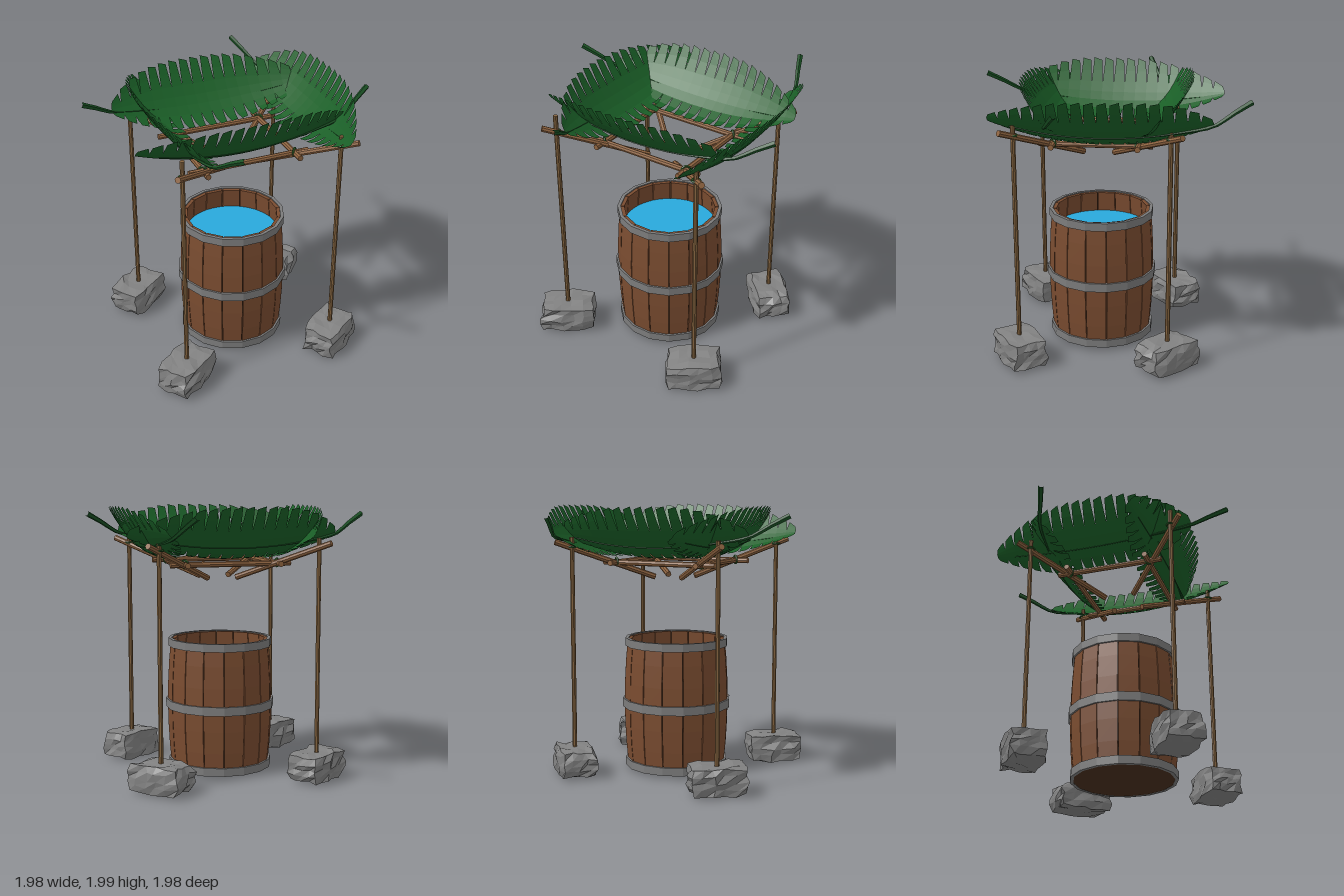
import * as THREE from 'three';

const mat = (color, extra = {}) => new THREE.MeshStandardMaterial({ color, flatShading: true, ...extra });
const both = { side: THREE.DoubleSide };
const M = {
  stave: mat(0x7a4c30), dark: mat(0x4a301e, both), band: mat(0x7c7c7c, both), water: mat(0x29a9dc),
  pole: mat(0x866540), beam: mat(0x8f6440), rock: mat(0x828282), leaf: mat(0x1a5f27, both),
  stem: mat(0x184f22), tie: mat(0x2c5a26),
};
const V = (x, y, z) => new THREE.Vector3(x, y, z);

function add(parent, name, geo, material, x = 0, y = 0, z = 0) {
  const mesh = new THREE.Mesh(geo, material);
  mesh.name = name;
  mesh.position.set(x, y, z);
  parent.add(mesh);
  return mesh;
}

// Round pole between two points
function pole(parent, name, a, b, r, material) {
  const d = b.clone().sub(a);
  const m = add(parent, name, new THREE.CylinderGeometry(r, r, d.length(), 8), material);
  m.position.copy(a).add(b).multiplyScalar(0.5);
  m.quaternion.setFromUnitVectors(V(0, 1, 0), d.normalize());
}

// Barrel of bulging staves with three hoops
const SIDES = 16;
const bulge = y => 0.368 + 0.027 * (1 - ((y - 0.52) / 0.49) ** 2);

function lathe(points) {
  return new THREE.LatheGeometry(points.map(p => new THREE.Vector2(...p)), SIDES, Math.PI / SIDES);
}

function barrel() {
  const g = new THREE.Group();
  g.name = 'barrel';
  const geo = new THREE.BoxGeometry(1, 0.965, 1, 1, 6, 1);
  const p = geo.attributes.position;
  for (let i = 0; i < p.count; i++) {
    const y = p.getY(i) + 0.52;
    const r = (bulge(y) - (p.getZ(i) < 0 ? 0.032 : 0)) * Math.cos(Math.PI / SIDES);
    const half = r * Math.tan(Math.PI / SIDES) - 0.003;
    p.setXYZ(i, Math.sign(p.getX(i)) * half, y, r);
  }
  for (let i = 0; i < SIDES; i++) add(g, 'stave', geo, M.stave).rotation.y = i * 2 * Math.PI / SIDES;

  const ys = [0.04, 0.2, 0.36, 0.52, 0.68, 0.84, 0.995];
  add(g, 'staveGaps', lathe(ys.map(y => [bulge(y) - 0.012, y])), M.dark);
  for (const [y0, y1, r] of [[0.03, 0.09, 0.388], [0.485, 0.55, 0.408], [0.95, 1.01, 0.388]])
    add(g, 'hoop', lathe([[r - 0.025, y0], [r, y0], [r, y1], [r - 0.025, y1], [r - 0.025, y0]]), M.band);
  const bottom = add(g, 'barrelBottom', new THREE.CylinderGeometry(0.37, 0.37, 0.02, SIDES), M.dark, 0, 0.042, 0);
  bottom.rotation.y = Math.PI / SIDES;
  add(g, 'water', new THREE.CylinderGeometry(0.345, 0.345, 0.02, 32), M.water, 0, 0.845, 0);
  return g;
}

// Rough stone: a box whose vertices are shifted by a hash of their position
function rockGeometry(seed) {
  const geo = new THREE.BoxGeometry(0.39, 0.2, 0.27, 5, 4, 4);
  const p = geo.attributes.position;
  const hash = (a, b, c, k) => {
    const h = Math.sin(a * 127.1 + b * 311.7 + c * 74.7 + (seed + k) * 19.3) * 43758.5453;
    return h - Math.floor(h) - 0.5;
  };
  for (let i = 0; i < p.count; i++) {
    const [x, y, z] = [p.getX(i), p.getY(i), p.getZ(i)].map(v => Math.round(v * 1000) / 1000 + 0);
    const layer = 1.02 + 0.08 * hash(0, y, 0, 9) - 0.06 * (y / 0.1) ** 4;
    p.setXYZ(i,
      x * layer + 0.03 * hash(x, y, z, 1),
      y + 0.018 * hash(x, y, z, 2) - 0.012 * (x / 0.195) ** 4 * Math.sign(y),
      z * layer * (1 - 0.12 * (x / 0.195) ** 2) + 0.03 * hash(x, y, z, 3));
  }
  geo.computeVertexNormals();
  return geo;
}

// Point on a leaf: t runs from stem to tip, v from inner edge to outer edge
function leafPoint(t, v) {
  const e = 2 * t - 1;
  const w = 1 - 0.85 * Math.abs(e) ** (e < 0 ? 3.2 : 2.1);
  return V(0.73 - 1.53 * t, 1.705 + 0.09 * e * e + w * (0.19 * v + 0.1 * v * v), 0.425 - 0.065 * e * e + 0.205 * w * v);
}

// Bowed leaf blade, slit along both edges into fringes
function leafGeometry() {
  const N = 18, rows = [-1, -0.65, -0.3, 0, 0.25, 0.5, 0.75, 1];
  const pos = [], idx = [];
  for (let i = 0; i < N; i++) {
    const first = pos.length / 3;
    rows.forEach((v, j) => {
      const pinch = v < 0 ? 0.4 * Math.max(0, -v - 0.3) / 0.7 : 0.3 * Math.max(0, v - 0.5) / 0.5;
      for (const side of [-0.5, 0.5]) {
        const t = (i + 0.5 + side * (1 - pinch)) / N;
        const q = leafPoint(t, v * (Math.abs(v) === 1 && side > 0 ? 0.95 : 1));
        pos.push(q.x, q.y, q.z);
      }
      if (j) {
        const a = first + 2 * (j - 1);
        idx.push(a, a + 2, a + 1, a + 1, a + 2, a + 3);
      }
    });
  }
  const geo = new THREE.BufferGeometry();
  geo.setAttribute('position', new THREE.Float32BufferAttribute(pos, 3));
  geo.setIndex(idx);
  geo.computeVertexNormals();
  return geo;
}

// Stem that continues under the blade as a tapering midrib
function ribGeometry() {
  const path = [V(0.98, 1.935, 0.255), V(0.86, 1.868, 0.305)];
  for (const t of [0, 0.15, 0.3, 0.5, 0.7, 0.9]) path.push(leafPoint(t, 0).add(V(0, -0.005, 0)));
  const curve = new THREE.CatmullRomCurve3(path);
  const geo = new THREE.TubeGeometry(curve, 24, 0.018, 5);
  const p = geo.attributes.position;
  for (let i = 0; i < p.count; i++) {
    const u = Math.floor(i / 6) / 24, c = curve.getPointAt(u);
    const q = V(0, 0, 0).fromBufferAttribute(p, i).sub(c).multiplyScalar(Math.max(0.2, 1.15 - 2.2 * u)).add(c);
    p.setXYZ(i, q.x, q.y, q.z);
  }
  return geo;
}

export function createModel() {
  const model = new THREE.Group();
  const b = barrel();
  b.position.set(0.024, 0, 0.083);
  model.add(b);

  // Four corners: stone, post, rafter and lashings
  const cx = 0.022, cz = 0.085;
  let seed = 1;
  for (const sx of [-1, 1]) for (const sz of [-1, 1]) {
    const x = cx + sx * 0.582, z = cz + sz * 0.535;
    const rock = add(model, 'rock', rockGeometry(seed++), M.rock, x, 0.115, z);
    rock.rotation.y = sx > 0 && sz < 0 ? -0.8 : 0.62;
    const top = sx < 0 && sz > 0 ? 1.82 : 1.77;
    pole(model, 'post', V(x, 0.18, z), V(x, top, z), 0.017, M.pole);
    pole(model, 'rafter', V(0.038 + sx * 0.66, 1.735, cz + sz * 0.615), V(0.038 + sx * 0.11, 1.468, cz + sz * 0.11), 0.022, M.beam);
    const tie = add(model, 'postLashing', new THREE.TorusGeometry(0.027, 0.008, 5, 10), M.tie, x, 1.7, z);
    tie.rotation.x = Math.PI / 2;
    const knot = add(model, 'beamLashing', new THREE.TorusGeometry(0.028, 0.009, 5, 10), M.tie,
      cx + sx * 0.345, 1.585, cz + sz * 0.3);
    knot.rotation.y = sx * sz * Math.PI / 4;
  }

  // Square of horizontal beams
  for (const s of [-1, 1]) {
    pole(model, 'crossBeam', V(cx - 0.45, 1.58, cz + s * 0.3), V(cx + 0.45, 1.58, cz + s * 0.3), 0.021, M.beam);
    pole(model, 'sideBeam', V(cx + s * 0.345, 1.58, cz - 0.4), V(cx + s * 0.345, 1.58, cz + 0.4), 0.021, M.beam);
  }

  // Four leaves, each turned a quarter, form a rain-catching funnel
  const blade = leafGeometry(), rib = ribGeometry();
  const places = [['frontLeaf', 0, 0.025], ['leftLeaf', 0.215, 0], ['backLeaf', 0, 0.045], ['rightLeaf', -0.02, 0]];
  places.forEach(([name, x, z], i) => {
    const leaf = new THREE.Group();
    leaf.name = name;
    leaf.position.set(x, 0, z);
    leaf.rotation.y = i * Math.PI / 2;
    add(leaf, 'leafBlade', blade, M.leaf);
    add(leaf, 'leafStem', rib, M.stem);
    model.add(leaf);
  });
  return model;
}
